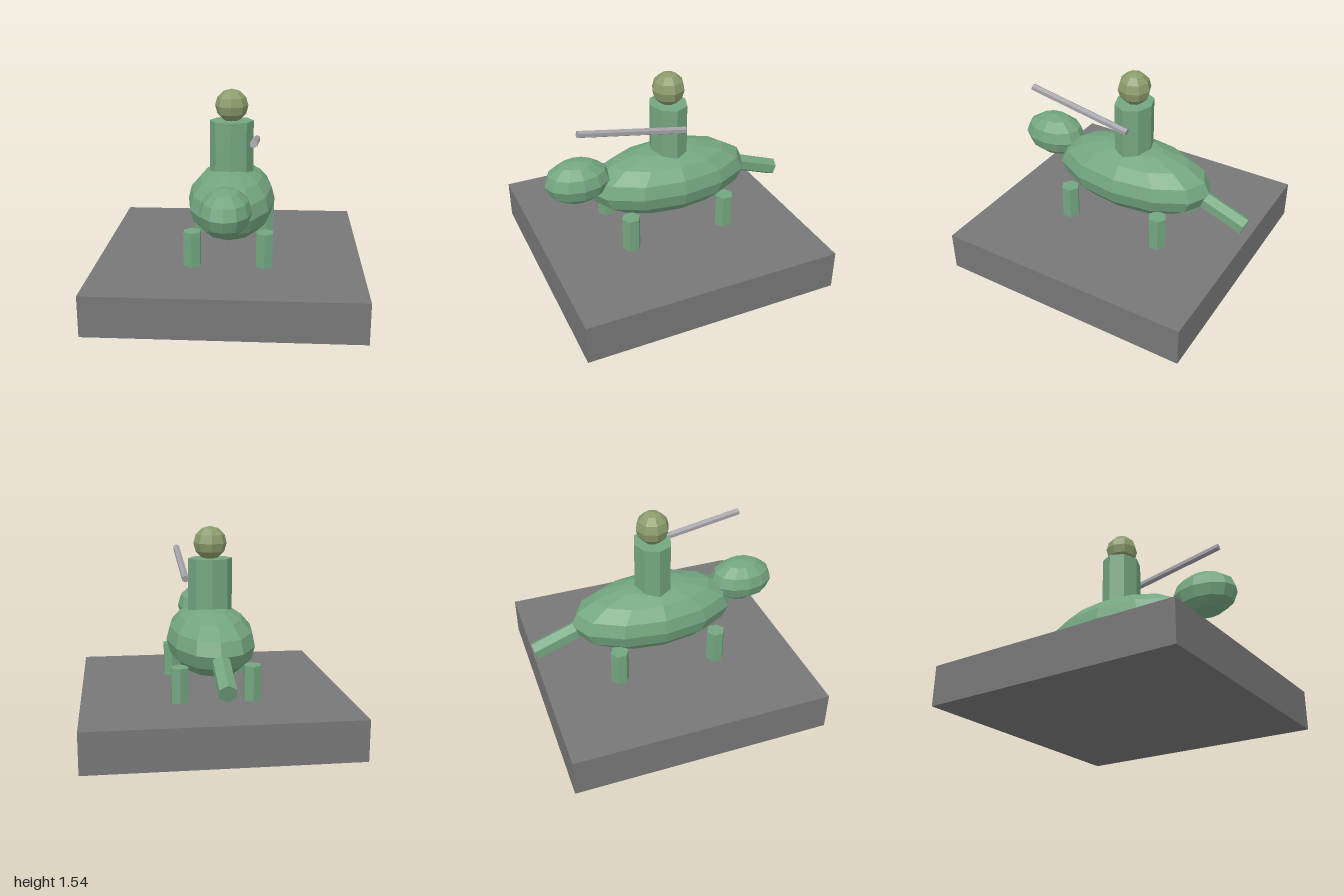
import * as THREE from 'three';

const paint = (color) => new THREE.MeshStandardMaterial({ color, flatShading: true });

export function createModel() {
  const model = new THREE.Group();
  const stone = paint(0x777777);
  const green = paint(0x74a680);
  const olive = paint(0x8c9c6c);
  const metal = paint(0xa2a2a8);

  function add(name, geometry, material, x, y, z) {
    const mesh = new THREE.Mesh(geometry, material);
    mesh.name = name;
    mesh.position.set(x, y, z);
    model.add(mesh);
    return mesh;
  }

  // Faceted ellipsoid with its poles pointing up
  const ellipsoid = (rx, ry, rz, sides, rings) =>
    new THREE.SphereGeometry(1, sides, rings).scale(rx, ry, rz);

  // Six-sided bar between two points in the plane x = const, given as [y, z]
  function bar(name, radius, material, x, from, to) {
    const a = new THREE.Vector3(x, ...from);
    const b = new THREE.Vector3(x, ...to);
    const dir = b.clone().sub(a);
    const mid = a.clone().add(b).multiplyScalar(0.5);
    const mesh = add(name, new THREE.CylinderGeometry(radius, radius, dir.length(), 6), material, mid.x, mid.y, mid.z);
    mesh.rotation.x = Math.atan2(dir.z, dir.y);
  }

  // Plinth
  add('base', new THREE.BoxGeometry(1.96, 0.3, 1.96), stone, 0, 0.15, 0.02);

  // Beast: body, head, legs and tail
  add('body', ellipsoid(0.333, 0.257, 0.648, 12, 8), green, 0, 0.688, -0.04);
  add('beastHead', ellipsoid(0.183, 0.166, 0.25, 12, 6), green, 0, 0.812, 0.69);
  for (const side of [1, -1]) {
    const label = side > 0 ? 'Left' : 'Right';
    for (const [end, z] of [['front', 0.38], ['back', -0.395]]) {
      add(end + label + 'Leg', new THREE.CylinderGeometry(0.07, 0.07, 0.26, 6), green, side * 0.265, 0.43, z);
    }
  }
  bar('tail', 0.068, green, 0, [0.645, -0.65], [0.525, -0.977]);

  // Rider: torso, head and lance
  const torso = new THREE.CylinderGeometry(0.166, 0.166, 0.42, 8).scale(1, 1, 0.85);
  add('riderTorso', torso, green, 0, 1.09, -0.04);
  add('riderHead', new THREE.SphereGeometry(0.125, 8, 6), olive, 0, 1.413, -0.04);
  bar('lance', 0.027, metal, 0.19, [1.15, -0.09], [1.295, 0.73]);

  return model;
}
